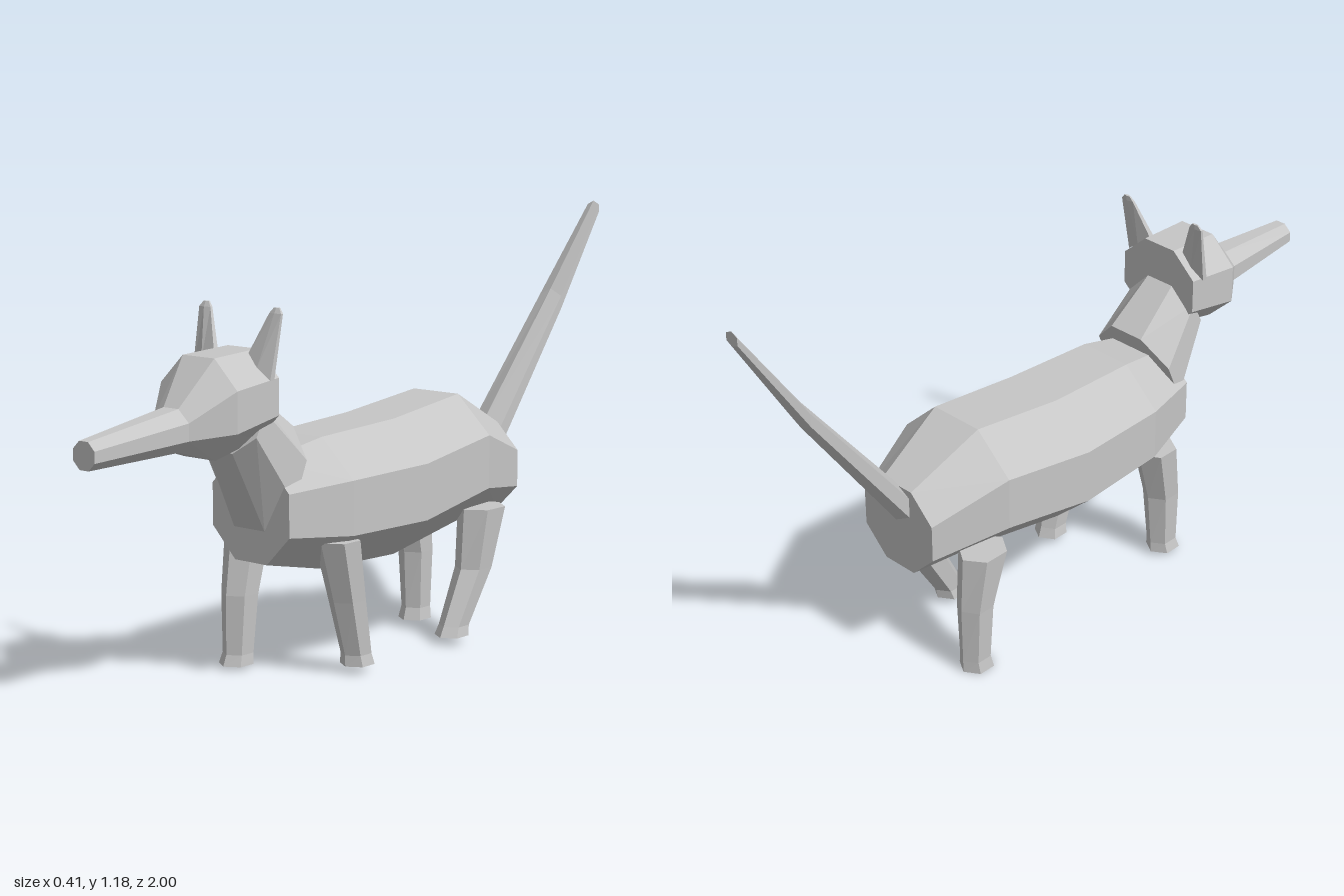
import * as THREE from 'three';

const grey = new THREE.MeshStandardMaterial({ color: 0xc6c6c6 });
grey.name = 'grey';

// Ring with flat left and right sides: [x, y, z, halfWidth, halfDepth, tilt]
function ringPoints([x, y, z, a, b, tilt = 0], axis, sides) {
  const points = [];
  const flat = Math.cos(Math.PI / sides);
  for (let i = 0; i < sides; i++) {
    const t = ((i + 0.5) / sides) * Math.PI * 2;
    const c = Math.cos(t) / flat;
    const s = Math.sin(t) / (sides % 4 ? 1 : flat);
    points.push(axis === 'z'
      ? [x + a * c, y + b * s, z + tilt * s]
      : [x + a * c, y + tilt * c, z - b * s]);
  }
  return points;
}

// Faceted, capped skin through rings ordered along +z or +y
function loft(name, axis, sides, sections) {
  const rings = sections.map((s) => ringPoints(s, axis, sides));
  const last = rings[rings.length - 1];
  const pos = [];
  const tri = (...corners) => corners.forEach((p) => pos.push(...p));
  for (let r = 0; r < rings.length - 1; r++) {
    for (let i = 0; i < sides; i++) {
      const j = (i + 1) % sides;
      tri(rings[r][i], rings[r][j], rings[r + 1][j]);
      tri(rings[r][i], rings[r + 1][j], rings[r + 1][i]);
    }
  }
  for (let i = 1; i < sides - 1; i++) {
    tri(rings[0][0], rings[0][i + 1], rings[0][i]);
    tri(last[0], last[i], last[i + 1]);
  }
  const geometry = new THREE.BufferGeometry();
  geometry.setAttribute('position', new THREE.Float32BufferAttribute(pos, 3));
  geometry.computeVertexNormals();
  const mesh = new THREE.Mesh(geometry, grey);
  mesh.name = name;
  return mesh;
}

export function createModel() {
  const model = new THREE.Group();
  model.name = 'animal';

  // Torso, from rump to chest
  model.add(loft('body', 'z', 8, [
    [0.003, 0.45, -0.57, 0.125, 0.125],
    [0, 0.503, -0.36, 0.19, 0.178],
    [-0.002, 0.46, -0.08, 0.204, 0.185],
    [-0.002, 0.455, 0.2, 0.188, 0.175],
    [0, 0.455, 0.39, 0.135, 0.137],
  ]));

  // Neck, tilted up and forward
  model.add(loft('neck', 'z', 8, [
    [-0.005, 0.535, 0.335, 0.13, 0.13, -0.055],
    [0, 0.695, 0.46, 0.105, 0.075, -0.04],
  ]));

  // Head with long snout, turned slightly to its left
  model.add(loft('head', 'z', 8, [
    [0.005, 0.765, 0.42, 0.125, 0.115],
    [0.007, 0.743, 0.58, 0.133, 0.128],
    [0.02, 0.702, 0.69, 0.062, 0.054],
    [0.043, 0.68, 1, 0.037, 0.035],
  ]));

  // Thin upright ears with blunt tips
  for (const side of [1, -1]) {
    const x = side > 0 ? 0.005 : 0;
    model.add(loft(side > 0 ? 'leftEar' : 'rightEar', 'y', 6, [
      [x + side * 0.095, 0.84, 0.453, 0.038, 0.015, -side * 0.03],
      [x + side * 0.12, 0.974, 0.424, 0.02, 0.007],
      [x + side * 0.12, 0.988, 0.42, 0.009, 0.004],
    ]));
  }

  // Raised tail, from tip to root
  model.add(loft('tail', 'z', 6, [
    [0.07, 1.16, -1, 0.02, 0.021],
    [0.037, 0.895, -0.84, 0.038, 0.038],
    [0.01, 0.51, -0.56, 0.052, 0.06],
  ]));

  // Legs in mid-stride: foot sole, ankle, knee, hip
  model.add(loft('leftFrontLeg', 'y', 6, [
    [0.13, 0.02, 0.122, 0.04, 0.048],
    [0.13, 0.05, 0.127, 0.035, 0.044],
    [0.132, 0.2, 0.165, 0.043, 0.052],
    [0.137, 0.368, 0.21, 0.053, 0.063],
  ]));
  model.add(loft('rightFrontLeg', 'y', 6, [
    [-0.137, 0.01, 0.305, 0.04, 0.05],
    [-0.135, 0.04, 0.3, 0.035, 0.045],
    [-0.135, 0.2, 0.292, 0.043, 0.052],
    [-0.14, 0.368, 0.255, 0.053, 0.063],
  ]));
  model.add(loft('leftBackLeg', 'y', 6, [
    [0.13, 0.022, -0.275, 0.04, 0.05],
    [0.13, 0.05, -0.285, 0.035, 0.045],
    [0.132, 0.2, -0.367, 0.043, 0.055],
    [0.137, 0.368, -0.395, 0.053, 0.078],
  ]));
  model.add(loft('rightBackLeg', 'y', 6, [
    [-0.135, 0, -0.435, 0.04, 0.05],
    [-0.135, 0.035, -0.44, 0.035, 0.045],
    [-0.135, 0.2, -0.437, 0.043, 0.05],
    [-0.14, 0.365, -0.41, 0.053, 0.072],
  ]));

  return model;
}
